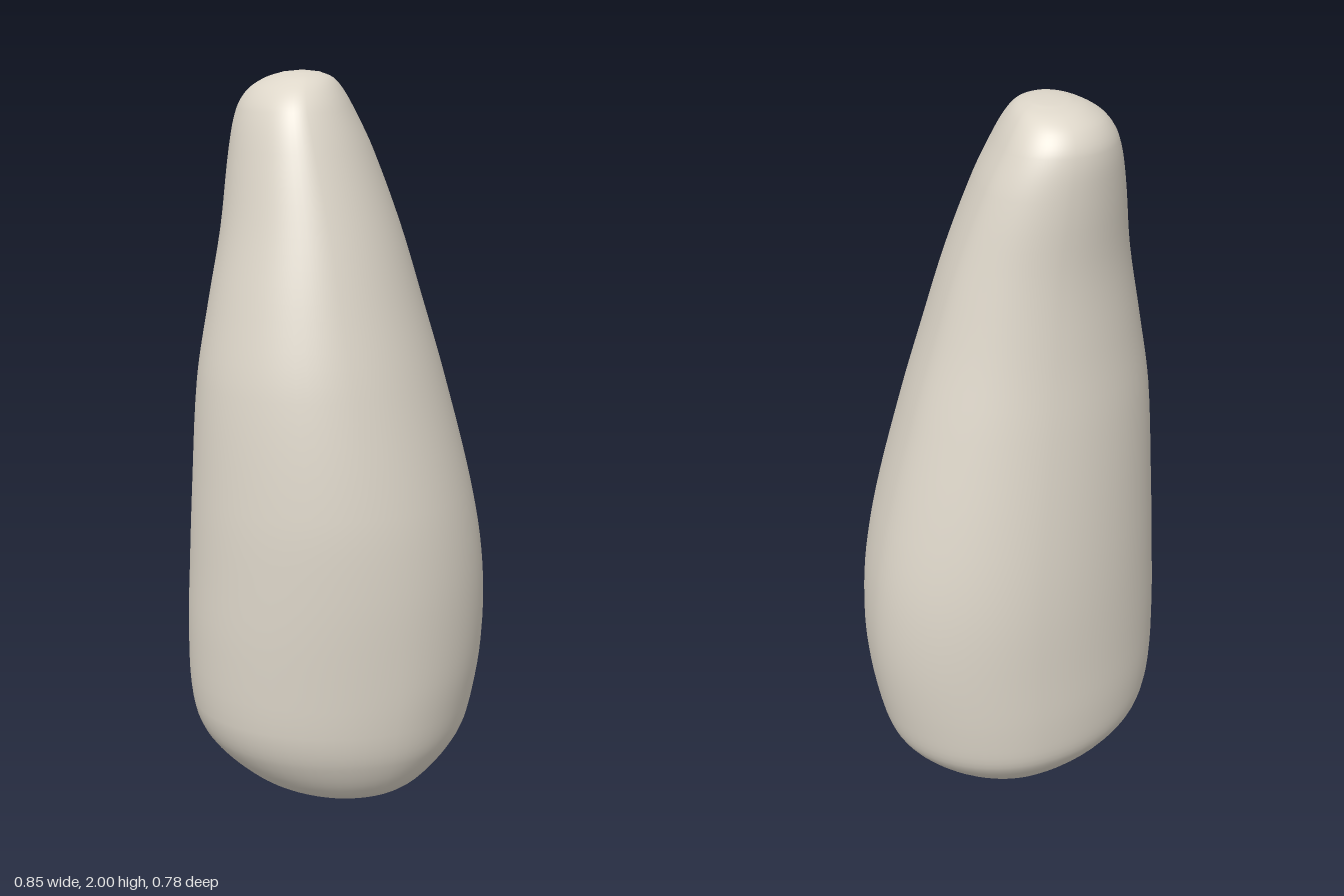
import * as THREE from 'three';

// Horizontal sections: height, min x, max x, min z, max z
const SECTIONS = [
  [0.004, -0.04, 0.04, -0.035, 0.05],
  [0.02, -0.11, 0.1, -0.095, 0.13],
  [0.05, -0.185, 0.175, -0.18, 0.215],
  [0.1, -0.28, 0.26, -0.27, 0.29],
  [0.2, -0.38, 0.36, -0.358, 0.347],
  [0.3, -0.417, 0.395, -0.378, 0.369],
  [0.5, -0.427, 0.424, -0.386, 0.384],
  [0.7, -0.421, 0.42, -0.388, 0.389],
  [0.9, -0.412, 0.387, -0.378, 0.378],
  [1.2, -0.391, 0.312, -0.35, 0.33],
  [1.4, -0.354, 0.255, -0.327, 0.282],
  [1.6, -0.31, 0.198, -0.312, 0.225],
  [1.8, -0.274, 0.13, -0.312, 0.157],
  [1.9, -0.246, 0.083, -0.302, 0.112],
  [1.95, -0.212, 0.053, -0.274, 0.072],
  [1.98, -0.163, 0.024, -0.23, 0.024],
  [1.995, -0.115, -0.015, -0.17, -0.035],
];
const SIDES = 64;
const STEPS = 5;

// Distance along the outline, used to space the interpolation
const KNOTS = [0];
for (let k = 1; k < SECTIONS.length; k++) {
  const [a, b] = [SECTIONS[k - 1], SECTIONS[k]];
  const widthChange = (b[2] - b[1] - a[2] + a[1]) / 2;
  KNOTS.push(KNOTS[k - 1] + Math.hypot(b[0] - a[0], widthChange));
}

// Smooth interpolation of one section column
function blend(k, t, col) {
  const last = SECTIONS.length - 1;
  const slope = (i) => {
    const lo = Math.max(i - 1, 0), hi = Math.min(i + 1, last);
    return (SECTIONS[hi][col] - SECTIONS[lo][col]) / (KNOTS[hi] - KNOTS[lo]);
  };
  const next = Math.min(k + 1, last);
  const h = KNOTS[next] - KNOTS[k];
  const t2 = t * t, t3 = t2 * t;
  return (2 * t3 - 3 * t2 + 1) * SECTIONS[k][col] + (t3 - 2 * t2 + t) * h * slope(k)
    + (3 * t2 - 2 * t3) * SECTIONS[next][col] + (t3 - t2) * h * slope(next);
}

// Lopsided oval: four quarter ellipses joining the extreme points of each side
function addRing(pos, [y, x0, x1, z0, z1]) {
  const { lerp, clamp } = THREE.MathUtils;
  const t = clamp((y - 0.4) / 1.5, 0, 1);
  const backX = lerp(x0, x1, lerp(0.572, 0.6, t));
  const frontX = lerp(x0, x1, lerp(0.537, 0.354, t));
  const rightZ = lerp(z0, z1, lerp(0.5, 0.567, t));
  const leftZ = lerp(z0, z1, lerp(0.41, 0.3, t));
  for (let i = 0; i < SIDES; i++) {
    const a = (i / SIDES) * Math.PI * 2;
    const c = Math.cos(a), s = Math.sin(a);
    const midX = s > 0 ? frontX : backX;
    const midZ = c > 0 ? leftZ : rightZ;
    pos.push(midX + Math.abs(c) * ((c > 0 ? x1 : x0) - midX), y, midZ + Math.abs(s) * ((s > 0 ? z1 : z0) - midZ));
  }
}

function stoneGeometry() {
  const pos = [], index = [];
  const last = SECTIONS.length - 1;
  for (let k = 0; k <= last; k++) {
    const n = k < last ? STEPS : 1;
    for (let s = 0; s < n; s++) addRing(pos, [0, 1, 2, 3, 4].map((c) => blend(k, s / STEPS, c)));
  }
  const rings = last * STEPS + 1;
  const bottom = rings * SIDES, top = bottom + 1;
  pos.push(0, 0, 0.01, -0.065, 2, -0.1);

  for (let i = 0; i < SIDES; i++) {
    const j = (i + 1) % SIDES;
    for (let r = 0; r < rings - 1; r++) {
      const a = r * SIDES + i, b = r * SIDES + j;
      index.push(a, a + SIDES, b, b, a + SIDES, b + SIDES);
    }
    const t = (rings - 1) * SIDES;
    index.push(bottom, i, j, top, t + j, t + i);
  }
  const geo = new THREE.BufferGeometry();
  geo.setAttribute('position', new THREE.Float32BufferAttribute(pos, 3));
  geo.setIndex(index);
  geo.computeVertexNormals();
  return geo;
}

export function createModel() {
  const group = new THREE.Group();
  group.name = 'standingStone';
  const stone = new THREE.MeshStandardMaterial({ color: 0xded7ca });
  stone.name = 'pale stone';
  const body = new THREE.Mesh(stoneGeometry(), stone);
  body.name = 'stoneBody';
  group.add(body);
  return group;
}
